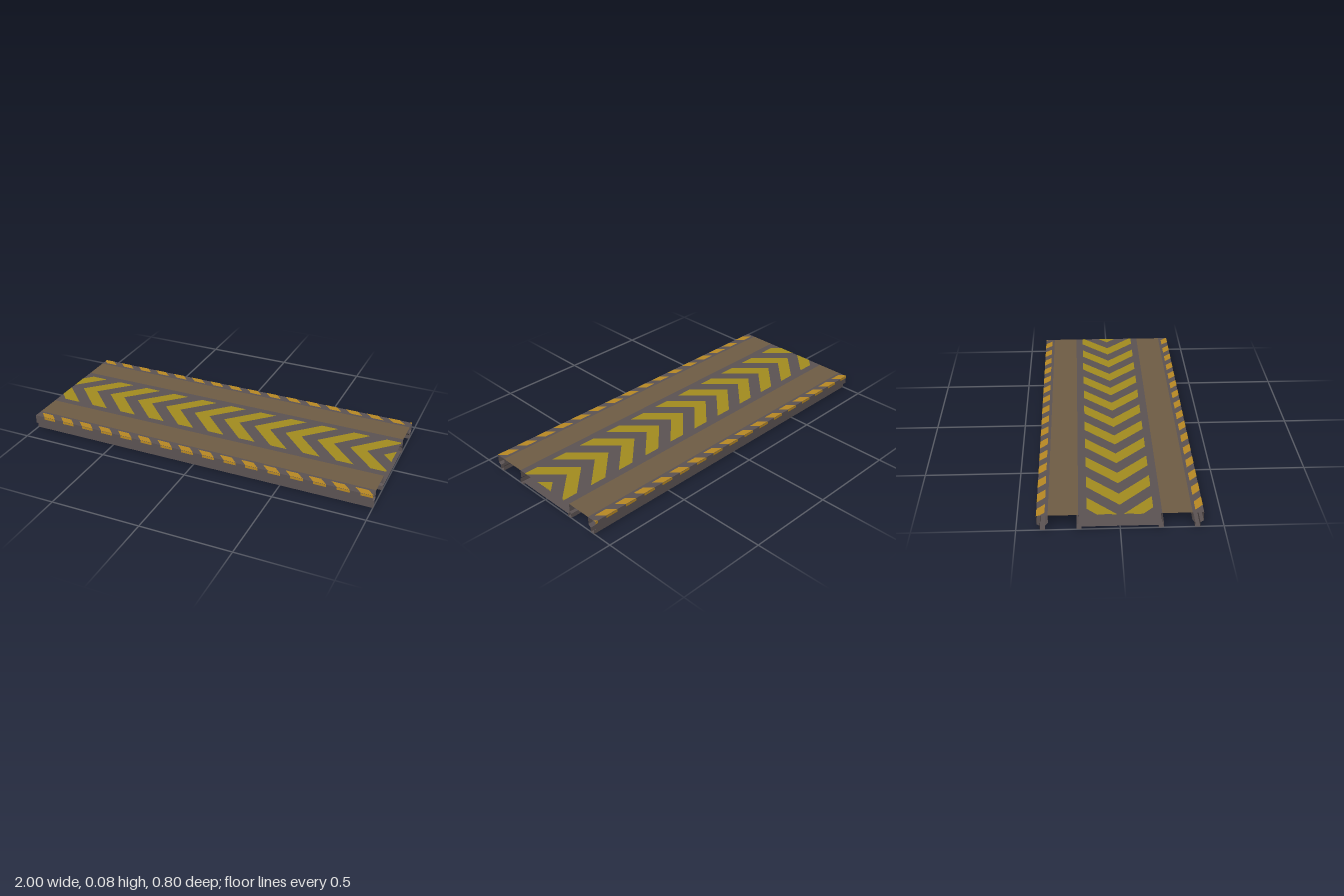
import * as THREE from 'three';
import { mergeGeometries } from 'three/addons/utils/BufferGeometryUtils.js';

const TOP = 0.083;   // deck height
const GAP = 0.001;   // lift of painted marks above the metal

function material(name, color) {
  const m = new THREE.MeshStandardMaterial({ color, side: THREE.DoubleSide });
  m.name = name;
  return m;
}

// Flat convex polygon from a list of [x, y, z] corners.
function face(points) {
  const pos = [];
  for (let i = 1; i < points.length - 1; i++) {
    pos.push(...points[0], ...points[i], ...points[i + 1]);
  }
  const g = new THREE.BufferGeometry();
  g.setAttribute('position', new THREE.Float32BufferAttribute(pos, 3));
  g.computeVertexNormals();
  return g;
}

// Folded sheet: a [z, y] profile drawn along the whole length, open at both ends.
function sheet(profile) {
  const faces = [];
  for (let i = 0; i < profile.length - 1; i++) {
    const [z0, y0] = profile[i];
    const [z1, y1] = profile[i + 1];
    faces.push(face([[-1, y0, z0], [-1, y1, z1], [1, y1, z1], [1, y0, z0]]));
  }
  return mergeGeometries(faces);
}

// Cut an [x, z] polygon off at both ends of the deck.
function clip(polygon) {
  for (const s of [-1, 1]) {
    const out = [];
    polygon.forEach((a, i) => {
      const b = polygon[(i + 1) % polygon.length];
      const da = 1 - s * a[0];
      const db = 1 - s * b[0];
      if (da >= 0) out.push(a);
      if (da * db < 0) {
        const t = da / (da - db);
        out.push([a[0] + t * (b[0] - a[0]), a[1] + t * (b[1] - a[1])]);
      }
    });
    polygon = out;
  }
  return polygon;
}

export function createModel() {
  const grey = material('dark steel', 0x5c5353);
  const brown = material('brown plate', 0x6f5d45);
  const yellow = material('chevron yellow', 0xa38d1f);
  const orange = material('hazard orange', 0xb98a24);

  const group = new THREE.Group();
  group.name = 'walkway';
  const add = (name, geometry, mat) => {
    const mesh = new THREE.Mesh(geometry, mat);
    mesh.name = name;
    group.add(mesh);
  };

  // Hollow centre beam: deck, side walls, two feet and a bottom panel
  add('centreBeam', sheet([
    [-0.2, TOP], [0.2, TOP], [0.2, 0.035], [0.21, 0.025], [0.21, 0], [0.185, 0], [0.185, 0.015],
    [-0.185, 0.015], [-0.185, 0], [-0.21, 0], [-0.21, 0.025], [-0.2, 0.035], [-0.2, TOP],
  ]), grey);

  // Brown side plates and hollow outer rails
  for (const [side, s] of [['left', 1], ['right', -1]].map(([, s]) => [s > 0 ? 'front' : 'back', s])) {
    add(side + 'Plate', sheet([[s * 0.2, TOP], [s * 0.345, TOP]]), brown);
    add(side + 'Rail', sheet([
      [0.345, TOP], [0.4, TOP], [0.4, 0.035], [0.385, 0.025], [0.385, 0],
      [0.36, 0], [0.36, 0.025], [0.345, 0.04], [0.345, TOP],
    ].map(([z, y]) => [s * z, y])), grey);
  }

  // Chevrons pointing to -x, painted on both faces of the centre deck
  const chevrons = [];
  for (let k = -1; k < 11; k++) {
    const tip = -0.925 + 0.187 * k;
    for (const s of [-1, 1]) {
      const arm = clip([[tip, 0], [tip + 0.16, s * 0.16], [tip + 0.255, s * 0.16], [tip + 0.095, 0]]);
      if (arm.length < 3) continue;
      for (const y of [TOP + GAP, TOP - GAP]) {
        chevrons.push(face(arm.map(([x, z]) => [x, y, z])));
      }
    }
  }
  add('chevrons', mergeGeometries(chevrons), yellow);

  // Slanted hazard stripes on the rail tops, folded down over the outer edge
  const stripes = [];
  for (const [s, start] of [[1, -0.98], [-1, -1.015]]) {
    for (let k = 0; k <= 16; k++) {
      const x = start + 0.125 * k;
      const top = clip([[x, s * 0.38 - 0.02], [x + 0.07, s * 0.38 - 0.02],
        [x + 0.11, s * 0.38 + 0.02], [x + 0.04, s * 0.38 + 0.02]]);
      if (top.length < 3) continue;
      stripes.push(face(top.map(([px, z]) => [px, TOP + GAP, z])));
      const edge = top.filter(([, z]) => Math.abs(z - s * 0.4) < 1e-4).map((p) => p[0]);
      if (edge.length < 2) continue;
      const a = Math.min(...edge);
      const b = Math.max(...edge);
      const z = s * (0.4 + GAP);
      stripes.push(face([[a, 0.069, z], [b, 0.069, z], [b, TOP, z], [a, TOP, z]]));
    }
  }
  add('edgeStripes', mergeGeometries(stripes), orange);

  return group;
}
